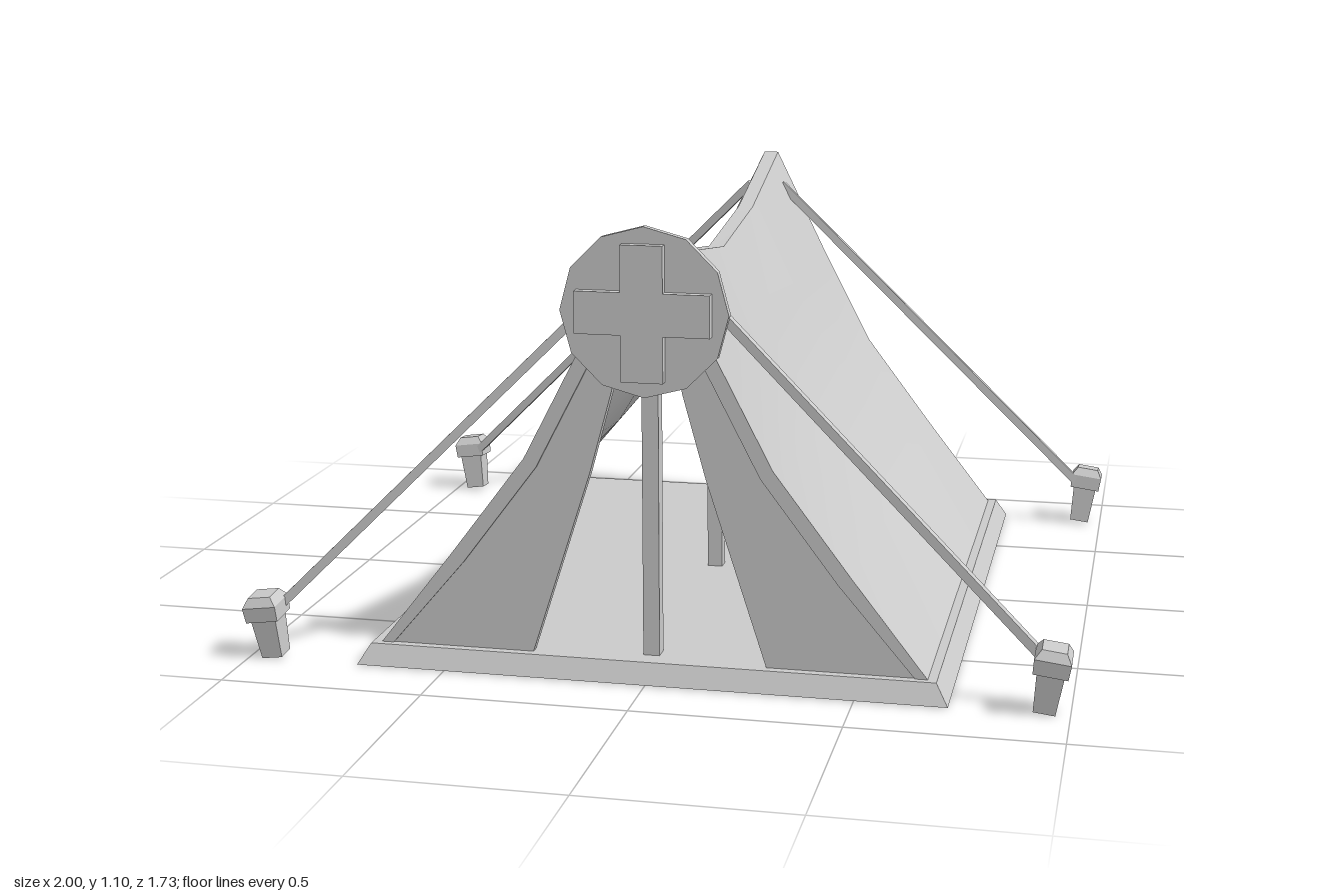
import * as THREE from 'three';

const solid = new THREE.MeshStandardMaterial({ color: 0xcccccc, flatShading: true });
const sheet = new THREE.MeshStandardMaterial({ color: 0xcccccc, flatShading: true, side: THREE.DoubleSide });
const cloth = new THREE.MeshStandardMaterial({ color: 0xcccccc, side: THREE.DoubleSide });

// Surface through rows of [x, y, z] points
function grid(rows) {
  const n = rows[0].length, index = [];
  for (let r = 0; r < rows.length - 1; r++) {
    for (let c = 0; c < n - 1; c++) {
      const a = r * n + c, b = a + n;
      index.push(a, b, a + 1, b, b + 1, a + 1);
    }
  }
  const geo = new THREE.BufferGeometry();
  geo.setAttribute('position', new THREE.Float32BufferAttribute(rows.flat(2), 3));
  geo.setIndex(index);
  geo.computeVertexNormals();
  return geo;
}

export function createModel() {
  const model = new THREE.Group();
  const add = (name, geo, mat = solid, x = 0, y = 0, z = 0) => {
    const mesh = new THREE.Mesh(geo, mat);
    mesh.name = name;
    mesh.position.set(x, y, z);
    model.add(mesh);
    return mesh;
  };

  // Ground sheet with a sloping, hollow skirt
  const ring = (x, y, z) => [[-x, y, -z], [-x, y, z], [x, y, z], [x, y, -z], [-x, y, -z]];
  add('groundSkirt', grid([ring(0.72, 0, 0.835), ring(0.69, 0.05, 0.812)]), sheet);
  add('groundSheet', new THREE.PlaneGeometry(1.38, 1.624).rotateX(-Math.PI / 2), sheet, 0, 0.05, 0);

  // Canvas: wall profiles from ridge to foot, sagging towards the middle
  const outer = [[0.02, 1.085], [0.165, 0.79], [0.3, 0.53], [0.485, 0.285], [0.668, 0.05]];
  const inner = [[0, 1.04], [0.135, 0.77], [0.27, 0.51], [0.455, 0.265], [0.638, 0.05]];
  const stations = [[-0.795, 1], [-0.4, 0.894], [0, 0.845], [0.4, 0.894], [0.795, 1]];
  const row = (profile, side, [z, s]) => profile.map(([x, y]) => [x * side, 0.05 + (y - 0.05) * s, z]);
  for (const side of [-1, 1]) {
    const name = side > 0 ? 'left' : 'right';
    const order = side > 0 ? [...stations].reverse() : stations;
    add(name + 'CanvasOuter', grid(order.map(s => row(outer, side, s))), cloth);
    add(name + 'CanvasInner', grid([...order].reverse().map(s => row(inner, side, s))), cloth);
    for (const end of [stations[0], stations[4]]) {
      add(name + 'CanvasHem', grid([row(outer, side, end), row(inner, side, end)]), sheet);
    }
  }
  const top = [outer[0]];
  add('ridge', grid(stations.map(s => [row(top, -1, s)[0], row(top, 1, s)[0]])), cloth);
  for (const s of [stations[0], stations[4]]) {
    add('ridgeEnd', grid([[row(top, -1, s)[0], row(top, 1, s)[0]],
      [row(inner, 1, s)[0], row(inner, 1, s)[0]]]), sheet);
  }

  // Front door flaps, drawn open
  const flapEdge = [[0.02, 1.02], [0.085, 0.7], [0.14, 0.5], [0.29, 0.035]];
  for (const side of [-1, 1]) {
    const points = [...outer.map(([x, y]) => [x - 0.012, y - 0.012]), ...[...flapEdge].reverse()];
    const shape = new THREE.Shape(points.map(([x, y]) => new THREE.Vector2(x * side, y)));
    add(side > 0 ? 'leftFlap' : 'rightFlap',
      new THREE.ExtrudeGeometry(shape, { depth: 0.025, bevelEnabled: false }), solid, 0, 0, 0.765);
  }

  // Upright poles
  for (const [name, z, height] of [['frontPole', 0.74, 1.03], ['centrePole', 0, 0.86], ['backPole', -0.74, 1.03]]) {
    add(name, new THREE.BoxGeometry(0.04, height, 0.04), solid, 0, 0.02 + height / 2, z);
  }

  // Round sign with a raised plus shape
  add('signDisc', new THREE.CylinderGeometry(0.2, 0.2, 0.022, 12).rotateX(Math.PI / 2), solid, 0, 0.895, 0.805);
  const a = 0.05, b = 0.16;
  const plus = new THREE.Shape([[a, b], [-a, b], [-a, a], [-b, a], [-b, -a], [-a, -a], [-a, -b], [a, -b],
    [a, -a], [b, -a], [b, a], [a, a]].map(p => new THREE.Vector2(...p)));
  add('signPlus', new THREE.ExtrudeGeometry(plus, { depth: 0.024, bevelEnabled: false }), solid, 0, 0.895, 0.815);

  // Guy ropes and square pegs at the four corners
  const peg = [[0, 0], [0.026, 0], [0.032, 0.1], [0.041, 0.1], [0.043, 0.138], [0.029, 0.16], [0, 0.16]];
  const pegGeo = new THREE.LatheGeometry(
    peg.map(([r, y]) => new THREE.Vector2(r * Math.SQRT2, y)), 4, Math.PI / 4);
  for (const sx of [-1, 1]) {
    for (const sz of [-1, 1]) {
      const corner = (sz > 0 ? 'front' : 'back') + (sx > 0 ? 'Left' : 'Right');
      const stake = add(corner + 'Peg', pegGeo, solid, sx * 0.94, 0.004, sz * 0.809);
      stake.rotation.set(sz * 0.09, 0, -sx * 0.13);
      const from = new THREE.Vector3(sx * 0.045, 1.0, sz * 0.715);
      const to = new THREE.Vector3(sx * 0.935, 0.12, sz * 0.79);
      const rope = add(corner + 'Rope', new THREE.BoxGeometry(0.022, 0.022, from.distanceTo(to)));
      rope.position.copy(from).lerp(to, 0.5);
      rope.lookAt(to);
    }
  }
  return model;
}
